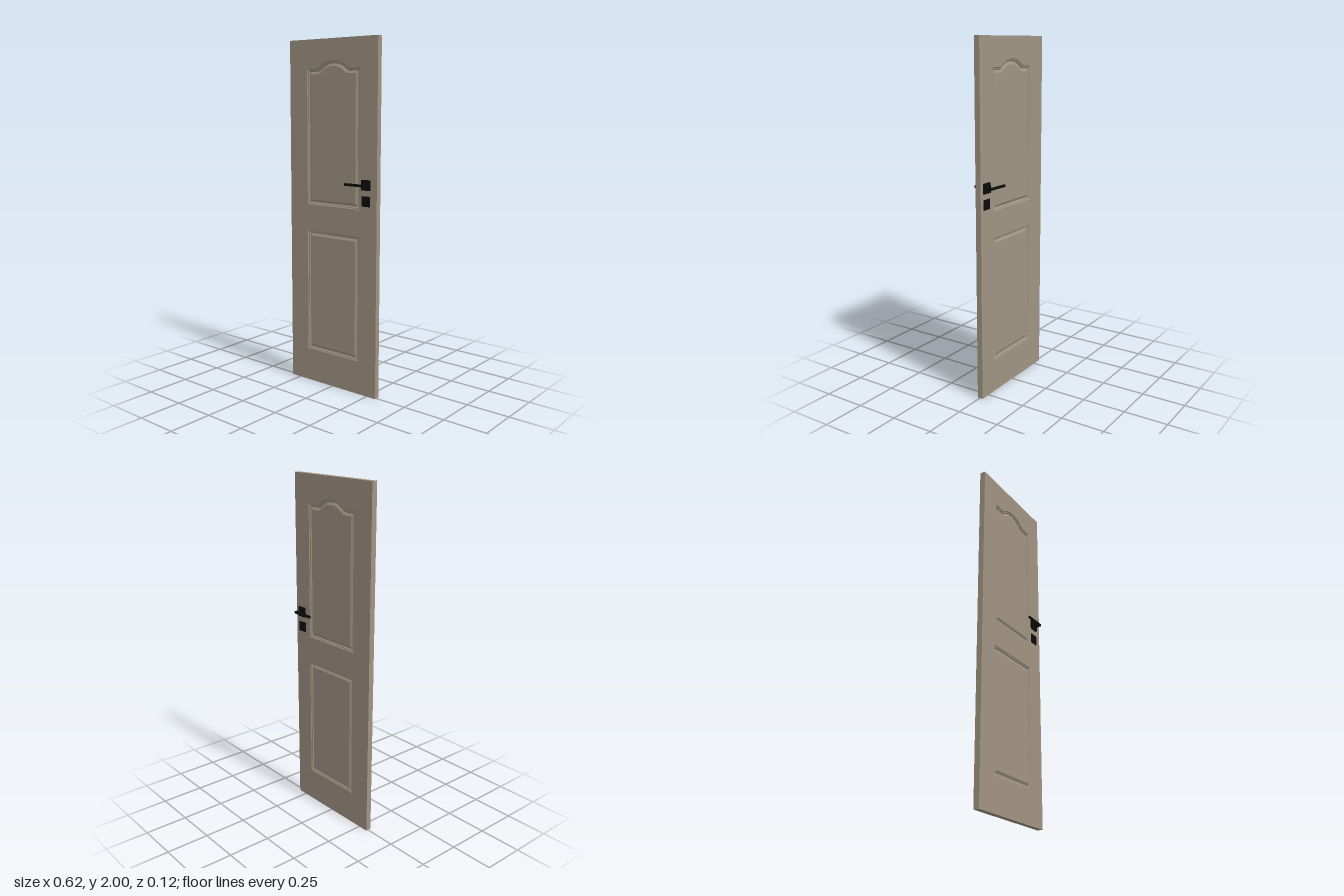
import * as THREE from 'three';
import { toCreasedNormals } from 'three/addons/utils/BufferGeometryUtils.js';

const W = 0.31, H = 2, T = 0.0165;          // half width, height, half thickness
const PANEL_X = 0.005, PANEL_W = 0.187;     // panel centre and half width
const PANELS = [
  { name: 'lowerPanel', bottom: 0.195, top: 0.915, arched: false },
  { name: 'upperPanel', bottom: 1.068, top: 1.838, arched: true },
];
// Moulding section: inset from the outline, depth below the door face
const PROFILE = [[0, 0], [0.003, -0.004], [0.009, -0.0055], [0.013, -0.01], [0.017, -0.01], [0.03, -0.003]];

// Height of the arched head above the shoulders
function arch(x) {
  const a = Math.abs(x);
  const crown = Math.max(0, 1 - (a / 0.06) ** 2);
  return 0.032 * THREE.MathUtils.smoothstep(0.125 - a, 0, 0.075) + 0.01 * crown;
}

// Panel outline moved inward by d, counter-clockwise
function outline(p, d) {
  const w = PANEL_W - d;
  const pts = [new THREE.Vector2(-w, p.bottom + d), new THREE.Vector2(w, p.bottom + d)];
  const n = p.arched ? 40 : 1;
  for (let i = 0; i <= n; i++) {
    const u = 1 - (2 * i) / n;
    pts.push(new THREE.Vector2(u * w, p.top - d + (p.arched ? arch(u * PANEL_W) : 0)));
  }
  return pts;
}

// Moulding: the section swept round the outline
function mouldingGeometry(p) {
  const rings = PROFILE.map(([d]) => outline(p, d));
  const n = rings[0].length;
  const pos = [], index = [];
  rings.forEach((ring, k) => ring.forEach((v) => pos.push(v.x, v.y, PROFILE[k][1])));
  for (let k = 0; k < rings.length - 1; k++) {
    for (let i = 0; i < n; i++) {
      const j = (i + 1) % n;
      const a = k * n + i, b = k * n + j, c = b + n, d = a + n;
      index.push(a, b, c, a, c, d);
    }
  }
  const g = new THREE.BufferGeometry();
  g.setAttribute('position', new THREE.Float32BufferAttribute(pos, 3));
  g.setIndex(index);
  return toCreasedNormals(g, 0.4);
}

export function createModel() {
  const paint = new THREE.MeshStandardMaterial({ name: 'taupePaint', color: 0xa09483 });
  const black = new THREE.MeshStandardMaterial({ name: 'blackMetal', color: 0x0c0c0c });
  const model = new THREE.Group();
  model.name = 'door';

  function add(parent, name, geometry, material, x = 0, y = 0, z = 0) {
    const mesh = new THREE.Mesh(geometry, material);
    mesh.name = name;
    mesh.position.set(x, y, z);
    parent.add(mesh);
    return mesh;
  }

  // Leaf, very slightly ajar
  const leaf = new THREE.Group();
  leaf.name = 'doorLeaf';
  leaf.rotation.y = 0.0095;
  model.add(leaf);

  // Frame of stiles and rails with the panel openings cut out
  const shape = new THREE.Shape([
    new THREE.Vector2(-W, 0), new THREE.Vector2(W, 0), new THREE.Vector2(W, H), new THREE.Vector2(-W, H),
  ]);
  for (const p of PANELS) {
    const pts = outline(p, 0).map((v) => new THREE.Vector2(v.x + PANEL_X, v.y));
    shape.holes.push(new THREE.Path(pts.reverse()));
  }
  add(leaf, 'frame', new THREE.ExtrudeGeometry(shape, { depth: 2 * T, bevelEnabled: false }), paint, 0, 0, -T);

  // Moulded panels on both faces
  const [inset, depth] = PROFILE[PROFILE.length - 1];
  for (const p of PANELS) {
    const moulding = mouldingGeometry(p);
    const field = new THREE.ShapeGeometry(new THREE.Shape(outline(p, inset)));
    for (const side of [1, -1]) {
      const panel = new THREE.Group();
      panel.name = p.name + (side > 0 ? 'Front' : 'Back');
      panel.position.set(PANEL_X, 0, side * T);
      panel.rotation.y = side > 0 ? 0 : Math.PI;
      add(panel, 'moulding', moulding, paint);
      add(panel, 'field', field, paint, 0, 0, depth);
      leaf.add(panel);
    }
  }

  // Lever handle and lock plate on each face
  const S = 0.057;
  for (const side of [1, -1]) {
    const handle = new THREE.Group();
    handle.name = side > 0 ? 'frontHandle' : 'backHandle';
    handle.position.set(side > 0 ? 0.238 : 0.258, 0, side * T);
    leaf.add(handle);
    const box = (name, w, h, d, x, y, z) =>
      add(handle, name, new THREE.BoxGeometry(w, h, d), black, x, y, side * z);
    box('rosette', S, S, 0.0095, 0, 1.207, 0.00475);
    box('leverStem', 0.025, 0.014, 0.036, 0.0055, 1.207, 0.0265);
    box('lever', 0.134, 0.014, 0.0075, -0.049, 1.207, 0.041);
    box('lockPlate', S, S, 0.004, 0, 1.117, 0.002);
    const cap = new THREE.CylinderGeometry(0.029, S / Math.SQRT2, 0.0055, 4);
    cap.rotateY(Math.PI / 4).rotateX((side * Math.PI) / 2);
    add(handle, 'lockPlateBevel', cap.toNonIndexed(), black, 0, 1.117, side * 0.00675);
  }
  return model;
}
